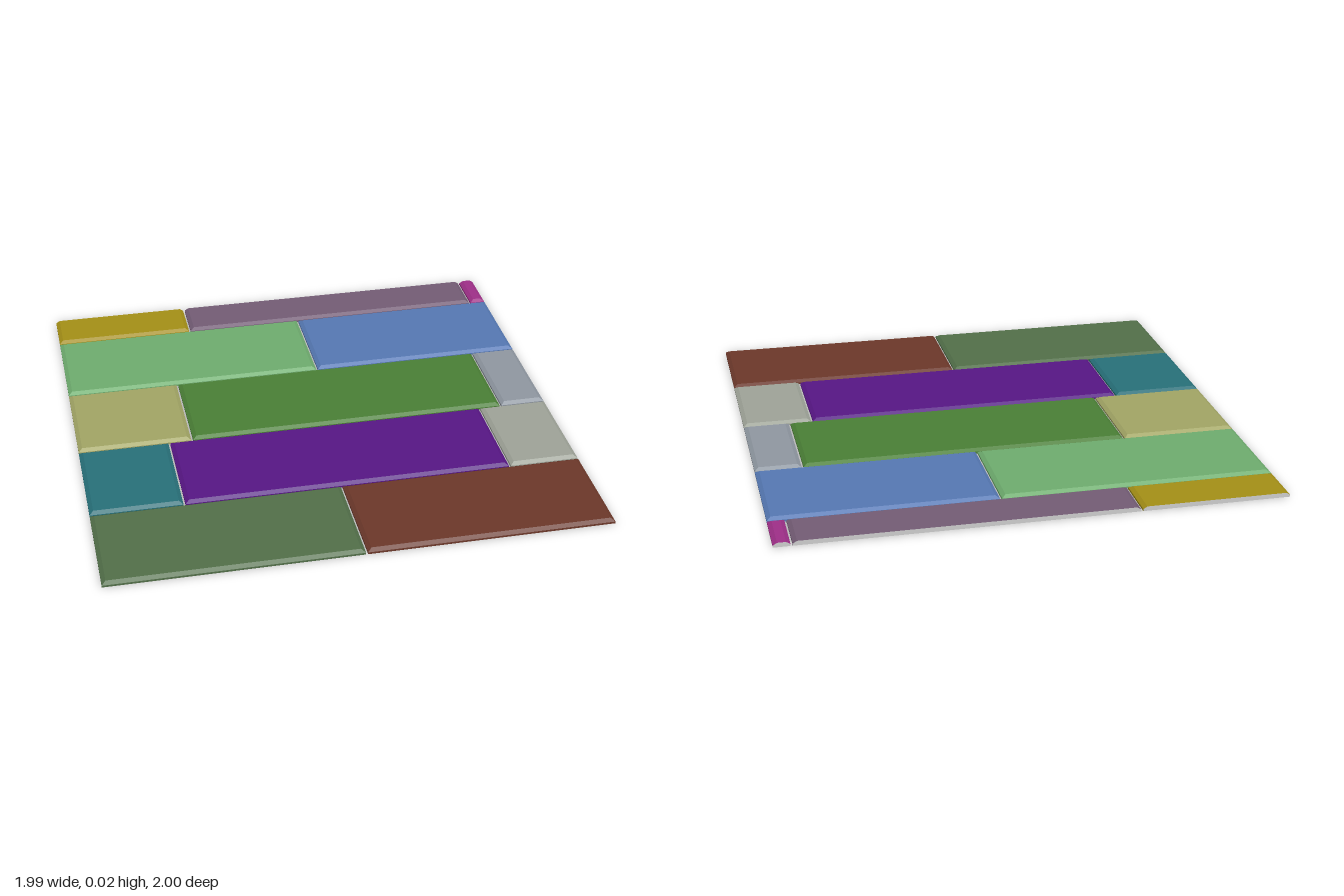
import * as THREE from 'three';

const HEIGHT = 0.018, SHOULDER = 0.008, BEVEL = 0.016;
const EDGE = 0.995;

// Rows from front to back: z range, then planks as [x start, x end, colour]
const ROWS = [
  { z: [0.555, 1.0], planks: [[-EDGE, 0.004, 0x526f49], [0.012, EDGE, 0x6c382a]] },
  { z: [0.105, 0.549], planks: [[-EDGE, -0.626, 0x277079], [-0.618, 0.704, 0x571685], [0.712, EDGE, 0x9ea398]] },
  { z: [-0.346, 0.099], planks: [[-EDGE, -0.529, 0xa2a565], [-0.521, 0.8, 0x4a7f35], [0.808, EDGE, 0x8f97a1]] },
  { z: [-0.796, -0.352], planks: [[-EDGE, 0.094, 0x6eac6e], [0.102, EDGE, 0x5578b3]] },
  { z: [-1.0, -0.802], cutBack: true, planks: [[-EDGE, -0.406, 0xa48f16], [-0.398, 0.922, 0x735c75], [0.93, EDGE, 0x9e2f88]] },
];

// Plank with a chamfered top; group 0 is the coloured finish, group 1 the bare faces
function plankGeometry(x0, x1, z0, z1, cutBack) {
  const ring = (y, inset) => {
    const back = z0 + (cutBack ? 0 : inset);
    return [
      [x0 + inset, y, z1 - inset], [x1 - inset, y, z1 - inset],
      [x1 - inset, y, back], [x0 + inset, y, back],
    ];
  };
  const rings = [ring(0, 0), ring(SHOULDER, 0), ring(HEIGHT, BEVEL)];
  const finish = [], bare = [];
  const quad = (list, a, b, c, d) => list.push(...a, ...b, ...c, ...a, ...c, ...d);

  // Sides and chamfers, front, right, back, left
  for (let level = 0; level < 2; level++) {
    for (let i = 0; i < 4; i++) {
      const j = (i + 1) % 4, lo = rings[level], hi = rings[level + 1];
      quad(cutBack && i === 2 ? bare : finish, lo[i], lo[j], hi[j], hi[i]);
    }
  }
  quad(finish, ...rings[2]);
  quad(bare, ...[...rings[0]].reverse());

  const geometry = new THREE.BufferGeometry();
  geometry.setAttribute('position', new THREE.Float32BufferAttribute([...finish, ...bare], 3));
  geometry.addGroup(0, finish.length / 3, 0);
  geometry.addGroup(finish.length / 3, bare.length / 3, 1);
  geometry.computeVertexNormals();
  return geometry;
}

export function createModel() {
  const floor = new THREE.Group();
  floor.name = 'plankFloor';
  const bareWood = new THREE.MeshStandardMaterial({ color: 0xcccccc });

  ROWS.forEach(({ z, planks, cutBack }, r) => {
    const row = new THREE.Group();
    row.name = `plankRow${r + 1}`;
    planks.forEach(([x0, x1, color], p) => {
      const finish = new THREE.MeshStandardMaterial({ color });
      const plank = new THREE.Mesh(plankGeometry(x0, x1, z[0], z[1], cutBack), [finish, bareWood]);
      plank.name = `plank${r + 1}_${p + 1}`;
      row.add(plank);
    });
    floor.add(row);
  });
  return floor;
}
